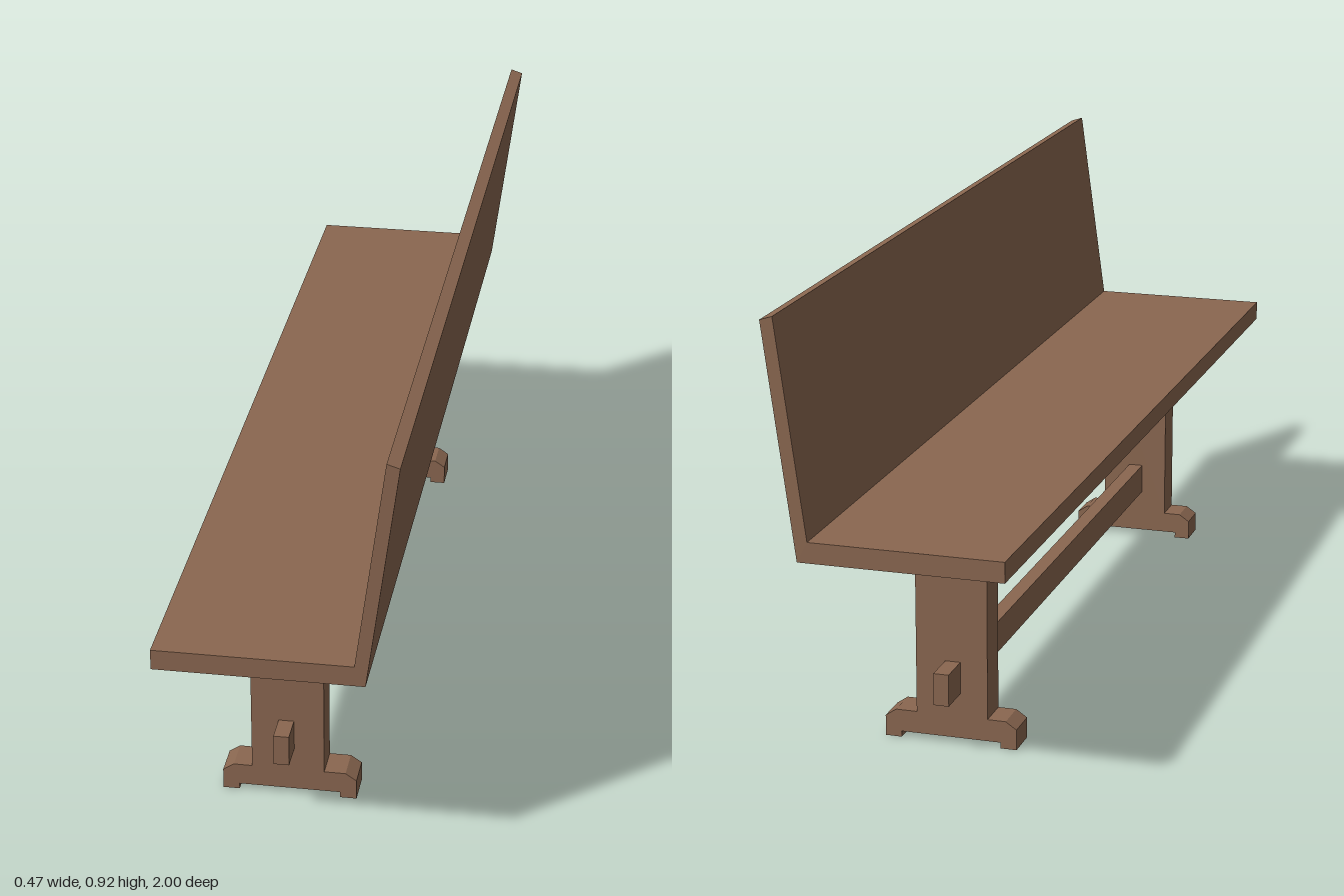
import * as THREE from 'three';

// Extrude an x-y profile from z0 to z1
function slab(name, points, z0, z1, material) {
  const shape = new THREE.Shape(points.map(([x, y]) => new THREE.Vector2(x, y)));
  const geometry = new THREE.ExtrudeGeometry(shape, { depth: z1 - z0, bevelEnabled: false });
  geometry.translate(0, 0, z0);
  const mesh = new THREE.Mesh(geometry, material);
  mesh.name = name;
  return mesh;
}

const rect = (x0, x1, y0, y1) => [[x0, y0], [x1, y0], [x1, y1], [x0, y1]];

export function createModel() {
  const group = new THREE.Group();
  group.name = 'bench';
  const wood = new THREE.MeshStandardMaterial({ color: 0x8a6750 });
  wood.name = 'brown wood';

  // Seat and leaning backrest, mitred where they meet
  group.add(slab('seat', [[-0.234, 0.45], [0.17, 0.45], [0.149, 0.491], [-0.234, 0.491]], -1, 1, wood));
  group.add(slab('backrest', [[0.149, 0.491], [0.17, 0.45], [0.232, 0.909], [0.207, 0.917]], -1, 1, wood));

  // Upright legs on chamfered feet, notched underneath
  const foot = [
    [-0.163, 0], [-0.13, 0], [-0.13, 0.012], [0.074, 0.012], [0.074, 0],
    [0.107, 0], [0.107, 0.042], [0.085, 0.057], [-0.141, 0.057], [-0.163, 0.042],
  ];
  for (const [side, z0, z1] of [['front', 0.638, 0.706], ['rear', -0.708, -0.639]]) {
    group.add(slab(side + 'Leg', rect(-0.104, 0.042, 0.057, 0.448), z0, z1, wood));
    group.add(slab(side + 'Foot', foot, z0, z1, wood));
  }

  // Stretcher passing through both legs
  group.add(slab('stretcher', rect(-0.049, -0.018, 0.105, 0.17), -0.78, 0.765, wood));

  // The bench stands very slightly askew
  group.rotation.y = -0.003;
  return group;
}
